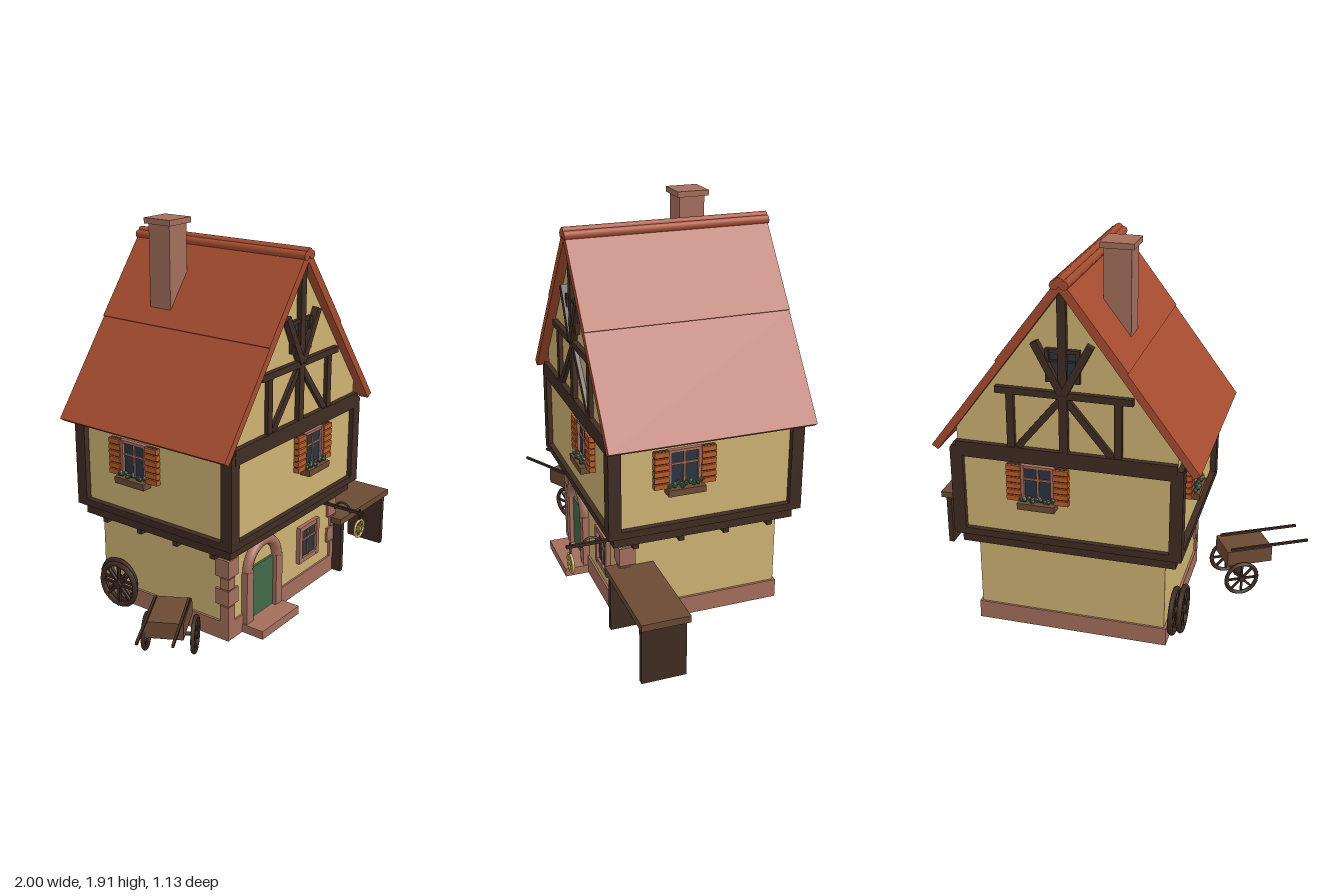
import * as THREE from 'three';

const mat = (name, color) => {
  const m = new THREE.MeshStandardMaterial({ color });
  m.name = name;
  return m;
};

export function createModel() {
  const plaster = mat('plaster', 0xcdb272), timber = mat('dark timber', 0x3f2c22);
  const stone = mat('pink stone', 0xa36e5c), tile = mat('roof tile', 0xa54c30);
  const glass = mat('glass', 0x2b3440), orange = mat('shutter orange', 0xb85c2a);
  const wood = mat('brown wood', 0x6b4a33), green = mat('green', 0x40694a);
  const gold = mat('sign yellow', 0xd0b868), white = mat('petal white', 0xd8d0b8);

  const add = (parent, name, geo, m, x = 0, y = 0, z = 0) => {
    const mesh = new THREE.Mesh(geo, m);
    mesh.name = name;
    mesh.position.set(x, y, z);
    parent.add(mesh);
    return mesh;
  };
  // box given by its min and max on each axis
  const box = (p, name, m, x0, x1, y0, y1, z0, z1) =>
    add(p, name, new THREE.BoxGeometry(x1 - x0, y1 - y0, z1 - z0), m, (x0 + x1) / 2, (y0 + y1) / 2, (z0 + z1) / 2);
  // straight beam between two points of a wall
  const beam = (p, name, x0, y0, x1, y1, w, z0, z1) => {
    const b = add(p, name, new THREE.BoxGeometry(w, Math.hypot(x1 - x0, y1 - y0), z1 - z0), timber,
      (x0 + x1) / 2, (y0 + y1) / 2, (z0 + z1) / 2);
    b.rotation.z = -Math.atan2(x1 - x0, y1 - y0);
  };
  // outline in x and y, extruded evenly along z
  const prism = (p, name, m, pts, depth) => {
    const geo = new THREE.ExtrudeGeometry(new THREE.Shape(pts.map(([x, y]) => new THREE.Vector2(x, y))),
      { depth, bevelEnabled: false });
    return add(p, name, geo.translate(0, 0, -depth / 2), m);
  };
  const group = (parent, name, x, y, z, ry = 0) => {
    const g = new THREE.Group();
    g.name = name;
    g.position.set(x, y, z);
    g.rotation.y = ry;
    parent.add(g);
    return g;
  };
  // spoked wheel facing z
  const wheel = (p, name, m, r, t, x, y, z, ry = 0) => {
    const g = group(p, name, x, y, z, ry);
    add(g, 'rim', new THREE.TorusGeometry(r - t, t, 6, 24), m);
    for (let i = 0; i < 4; i++)
      add(g, 'spoke', new THREE.BoxGeometry(2 * (r - t), t * 0.9, t * 0.9), m).rotation.z = i * Math.PI / 4;
    add(g, 'hub', new THREE.CylinderGeometry(t * 1.6, t * 1.6, t * 2.4, 10).rotateX(Math.PI / 2), m);
    return g;
  };
  // glazed window with frame and cross bars, centred on its origin
  const glazing = (p, w, h, t, m) => {
    box(p, 'glass', glass, -w, w, -h, h, 0, 0.008);
    for (const s of [-1, 1]) {
      box(p, 'frameSide', m, s * w - t / 2, s * w + t / 2, -h - t / 2, h + t / 2, 0, 0.022);
      box(p, 'frameRail', m, -w, w, s * h - t / 2, s * h + t / 2, 0, 0.02);
    }
    box(p, 'mullion', m, -0.005, 0.005, -h, h, 0, 0.015);
    box(p, 'crossBar', m, -w, w, 0.015, 0.025, 0, 0.014);
  };

  const model = new THREE.Group();
  model.name = 'timberHouse';
  const house = group(model, 'house', 0.06, 0, -0.055);

  // ground floor
  box(house, 'plinth', stone, -0.472, 0.472, 0.002, 0.095, -0.4, 0.4);
  box(house, 'groundWalls', plaster, -0.46, 0.46, 0.09, 0.47, -0.39, 0.39);
  for (const s of [-1, 1])
    [[0.095, 0.18, 0.05], [0.185, 0.265, 0.078], [0.27, 0.325, 0.05], [0.33, 0.42, 0.078]].forEach(([a, b, w]) =>
      box(house, 'cornerStone', stone, s > 0 ? 0.473 - w : -0.473, s > 0 ? 0.473 : -0.473 + w, a, b, 0.402 - w, 0.402));

  // door with arch and step
  const door = group(house, 'door', -0.205, 0, 0.39);
  box(door, 'doorLeaf', green, -0.1, 0.1, 0.05, 0.315, 0, 0.012);
  box(door, 'step', stone, -0.155, 0.155, 0.002, 0.045, 0, 0.13);
  for (const s of [-1, 1]) box(door, 'jamb', stone, s * 0.122 - 0.026, s * 0.122 + 0.026, 0.04, 0.315, 0, 0.033);
  add(door, 'arch', new THREE.TorusGeometry(0.121, 0.028, 8, 16, Math.PI), stone, 0, 0.31, 0.012);

  glazing(group(house, 'groundWindow', 0.207, 0.27, 0.39), 0.078, 0.088, 0.024, stone);

  // jetty and upper floor frame
  for (let i = 0; i < 4; i++) {
    const z = 0.333 - i * 0.223;
    box(house, 'joist', timber, -0.508, 0.508, 0.43, 0.47, z - 0.014, z + 0.014);
  }
  box(house, 'jettySill', timber, -0.52, 0.52, 0.46, 0.516, -0.445, 0.445);
  box(house, 'floorBeam', timber, -0.55, 0.55, 0.515, 0.55, -0.475, 0.475);
  prism(house, 'upperWalls', plaster, [[-0.52, 0.54], [0.52, 0.54], [0.52, 1.06], [0, 1.752], [-0.52, 1.06]], 0.9);
  for (const s of [-1, 1]) {
    for (const t of [-1, 1])
      box(house, 'cornerPost', timber, s * 0.52 - 0.03, s * 0.52 + 0.03, 0.515, 0.965, t * 0.445 - 0.03, t * 0.445 + 0.03);
    box(house, 'sideBeam', timber, s * 0.53 - 0.015, s * 0.53 + 0.015, 0.93, 0.975, -0.475, 0.475);
  }

  // timber gables, front and back
  for (const turn of [0, Math.PI]) {
    const g = group(house, 'gable', 0, 0, 0, turn);
    box(g, 'gableBeam', timber, -0.52, 0.52, 0.925, 1.0, 0.44, 0.476);
    beam(g, 'kingPost', 0, 1, 0, 1.735, 0.04, 0.44, 0.475);
    beam(g, 'collarBeam', -0.318, 1.275, 0.318, 1.275, 0.032, 0.44, 0.475);
    for (const s of [-1, 1]) {
      beam(g, 'stud', s * 0.25, 1, s * 0.25, 1.265, 0.036, 0.44, 0.47);
      beam(g, 'lowerBrace', s * 0.22, 1.0, s * 0.01, 1.255, 0.032, 0.44, 0.468);
      beam(g, 'upperBrace', s * 0.128, 1.515, s * 0.003, 1.28, 0.034, 0.44, 0.482);
    }
    glazing(group(g, 'atticWindow', 0, 1.412, 0.45), 0.07, 0.068, 0.018, timber);
  }

  // shuttered windows with flower boxes on all four sides
  [[0.13, 0.45, 0], [0.13, -0.45, Math.PI], [0.52, 0.11, Math.PI / 2], [-0.52, -0.11, -Math.PI / 2]].forEach(([x, z, ry]) => {
    const w = group(house, 'shutteredWindow', x, 0.82, z, ry);
    glazing(w, 0.071, 0.084, 0.014, stone);
    for (const s of [-1, 1]) {
      box(w, 'shutterBack', timber, s * 0.113 - 0.032, s * 0.113 + 0.032, -0.088, 0.09, 0, 0.018);
      for (let i = 0; i < 6; i++)
        box(w, 'shutterSlat', orange, s * 0.113 - 0.035, s * 0.113 + 0.035, -0.09 + i * 0.031, -0.066 + i * 0.031, 0, 0.028);
    }
    box(w, 'flowerBox', wood, -0.09, 0.09, -0.12, -0.088, 0, 0.055);
    for (let i = 0; i < 9; i++) {
      const px = -0.076 + i * 0.019, py = -0.078 + (i % 3) * 0.006;
      add(w, 'leaves', new THREE.IcosahedronGeometry(0.013, 0), green, px, py, 0.03 + (i % 2) * 0.01);
      if (i % 2) add(w, 'blossom', new THREE.IcosahedronGeometry(0.007, 0), i % 4 === 1 ? white : orange, px, py + 0.012, 0.044);
    }
  });

  // roof with one lapped course on each slope, and ridge rolls
  const slope = [[0, 1.753], [0.598, 0.956], [0.628, 0.976], [0.297, 1.416], [0.302, 1.42], [0, 1.817]];
  prism(house, 'roofRight', tile, slope, 0.99);
  prism(house, 'roofLeft', tile, slope.map(([x, y]) => [-x, y]).reverse(), 0.99);
  for (const [x, y] of [[0, 1.798], [-0.022, 1.783], [0.022, 1.783]])
    add(house, 'ridgeRoll', new THREE.CylinderGeometry(0.021, 0.021, 1.0, 8).rotateX(Math.PI / 2), tile, x, y, 0);

  // chimney
  box(model, 'chimney', stone, -0.188, -0.062, 1.3, 1.895, -0.29, -0.165);
  box(model, 'chimneyCap', stone, -0.203, -0.047, 1.888, 1.915, -0.306, -0.15);

  // hanging sign
  const sign = group(model, 'sign', 0.43, 0, 0);
  box(sign, 'bracket', timber, -0.007, 0.007, 0.413, 0.427, 0.33, 0.57);
  add(sign, 'bracketScroll', new THREE.TorusGeometry(0.045, 0.006, 6, 12, Math.PI).rotateY(Math.PI / 2), timber, 0, 0.405, 0.45);
  box(sign, 'hanger', timber, -0.004, 0.004, 0.375, 0.44, 0.546, 0.554);
  wheel(sign, 'signWheel', gold, 0.051, 0.007, 0, 0.335, 0.55);

  // side table
  const table = group(model, 'table', 0, 0, 0);
  box(table, 'tableTop', wood, 0.49, 1.0, 0.287, 0.32, 0.178, 0.405);
  for (const x of [0.528, 0.96]) box(table, 'tableLeg', timber, x - 0.014, x + 0.014, 0.005, 0.288, 0.187, 0.396);

  // handcart, turned away from the house
  const cart = group(model, 'cart', -0.68, 0, 0.205, 0.51);
  box(cart, 'cartBody', wood, -0.12, 0.12, 0.165, 0.247, -0.09, 0.09);
  for (const s of [-1, 1]) {
    box(cart, 'shaft', timber, -0.32, 0.1, 0.247, 0.259, s * 0.079 - 0.006, s * 0.079 + 0.006);
    wheel(cart, 'cartWheel', timber, 0.093, 0.011, 0.05, 0.1, s * 0.115);
  }
  add(cart, 'axle', new THREE.CylinderGeometry(0.009, 0.009, 0.23, 8).rotateX(Math.PI / 2), timber, 0.05, 0.1, 0);
  box(cart, 'axleBlock', timber, 0.03, 0.07, 0.095, 0.168, -0.07, 0.07);

  // spare wheels by the left wall
  wheel(model, 'spareWheel', timber, 0.122, 0.014, -0.463, 0.122, -0.3, Math.PI / 2);
  wheel(model, 'spareWheel', timber, 0.122, 0.014, -0.427, 0.122, -0.33, Math.PI / 2);
  return model;
}
